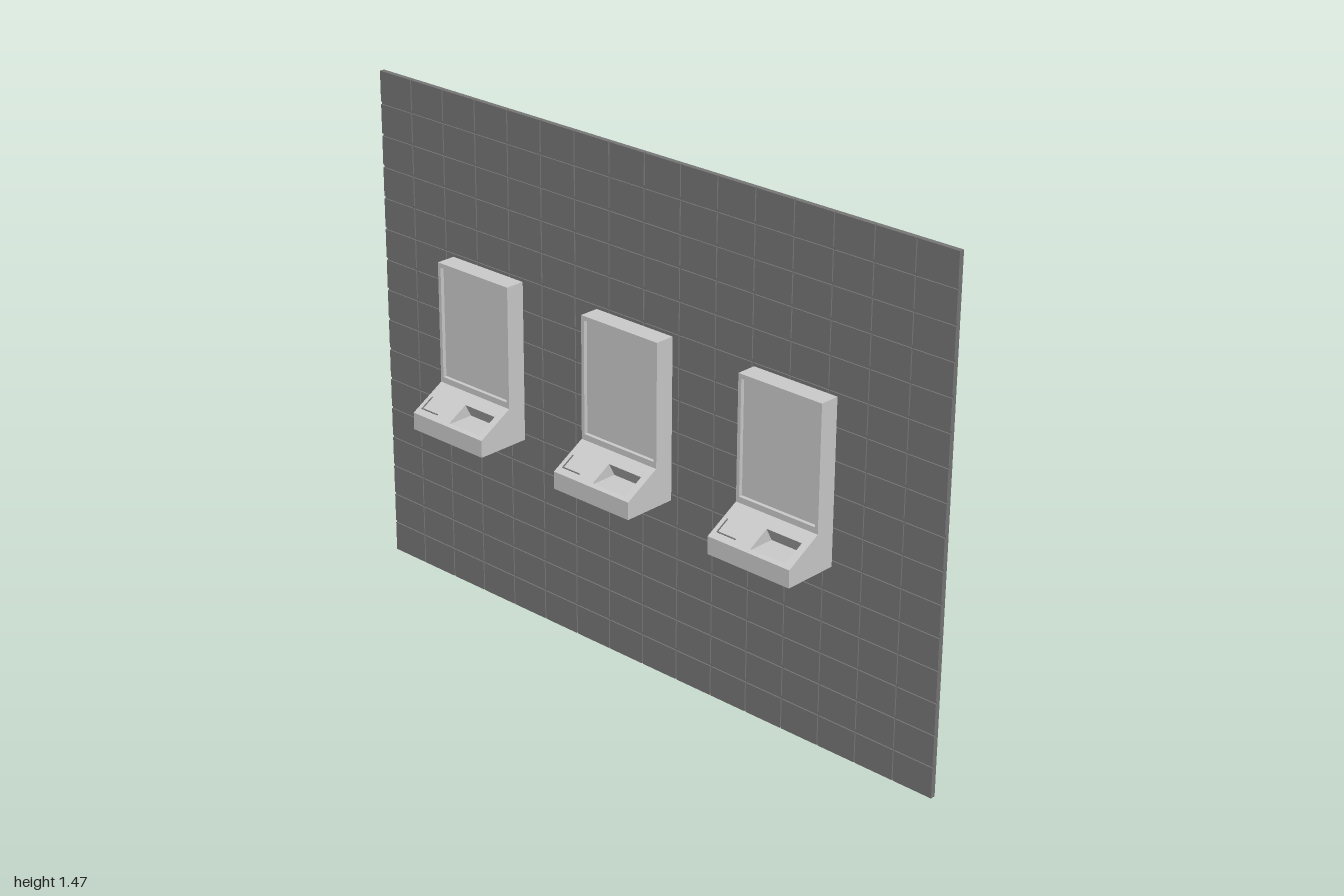
import * as THREE from 'three';
import { mergeGeometries } from 'three/addons/utils/BufferGeometryUtils.js';

const grey = new THREE.MeshStandardMaterial({ color: 0xcccccc, flatShading: true });
const dark = new THREE.MeshStandardMaterial({ color: 0x777777, flatShading: true });

function mesh(name, geometry, material) {
  const m = new THREE.Mesh(geometry, material);
  m.name = name;
  return m;
}

function box(x0, x1, y0, y1, z0, z1) {
  return new THREE.BoxGeometry(x1 - x0, y1 - y0, z1 - z0)
    .translate((x0 + x1) / 2, (y0 + y1) / 2, (z0 + z1) / 2);
}

// Side profile given as [z, y] points, extruded from x0 to x1
function slab(points, x0, x1) {
  const shape = new THREE.Shape(points.map(([z, y]) => new THREE.Vector2(-z, y)));
  return new THREE.ExtrudeGeometry(shape, { depth: x1 - x0, bevelEnabled: false })
    .rotateY(Math.PI / 2).translate(x0, 0, 0);
}

function rectangle(target, x0, x1, y0, y1) {
  target.moveTo(x0, y0);
  target.lineTo(x1, y0);
  target.lineTo(x1, y1);
  target.lineTo(x0, y1);
  target.closePath();
  return target;
}

function createWall() {
  const wall = new THREE.Group();
  wall.name = 'wall';
  const height = 1.47, columns = 16, rows = 16;
  wall.add(mesh('wallBacking', box(-1, 1, 0, height, -0.111, -0.1), dark));

  // Tiles stand slightly proud of the backing, leaving grooves between them
  const tiles = [];
  const w = 2 / columns, h = height / rows, gx = 0.002, gy = 0.004;
  for (let i = 0; i < columns; i++) {
    for (let j = 0; j < rows; j++) {
      const x = -1 + i * w, y = j * h;
      tiles.push(box(
        x + (i > 0 ? gx : 0), x + w - (i < columns - 1 ? gx : 0),
        y + (j > 0 ? gy : 0), y + h - (j < rows - 1 ? gy : 0),
        -0.1, -0.096));
    }
  }
  wall.add(mesh('wallTiles', mergeGeometries(tiles), dark));
  return wall;
}

function createKiosk(x) {
  const kiosk = new THREE.Group();
  kiosk.name = 'kiosk';
  const half = 0.135, bottom = 0.56, top = 1.023, back = -0.052;
  const panel = -0.005, front = 0.006, knee = 0.67, lip = 0.61, nose = 0.111;
  const trayLeft = -0.002, trayRight = 0.113;

  // Body in three slices; the middle slice has the tray cut into its slope
  const start = [[back, bottom], [nose, bottom], [nose, lip]];
  const end = [[front, knee], [panel, knee], [panel, top], [back, top]];
  const notch = [[0.1, 0.616], [0.1, 0.613], [0.02, 0.613], [0.04, 0.651]];
  kiosk.add(mesh('body', mergeGeometries([
    slab([...start, ...end], -half, trayLeft),
    slab([...start, ...notch, ...end], trayLeft, trayRight),
    slab([...start, ...end], trayRight, half),
  ]), grey));

  // Raised frame around the recessed screen
  const frame = rectangle(new THREE.Shape(), -half, half, knee, top);
  frame.holes.push(rectangle(new THREE.Path(), -0.125, 0.125, 0.687, 1.01));
  kiosk.add(mesh('screenFrame', new THREE.ExtrudeGeometry(frame,
    { depth: front - panel, bevelEnabled: false }).translate(0, 0, panel), grey));
  kiosk.add(mesh('screen', box(-0.121, 0.121, 0.691, 1.006, panel, panel + 0.002), grey));

  // Small L-shaped guide lying on the sloping desk
  const guide = new THREE.Group();
  guide.name = 'cardGuide';
  guide.position.set(0, lip, nose);
  guide.rotation.x = Math.atan2(nose - front, knee - lip) * -1;
  guide.add(mesh('guideSide', box(-0.121, -0.118, 0.02, 0.066, -0.001, 0.002), dark));
  guide.add(mesh('guideBase', box(-0.118, -0.058, 0.02, 0.023, -0.001, 0.002), dark));
  kiosk.add(guide);

  kiosk.position.x = x;
  return kiosk;
}

export function createModel() {
  const model = new THREE.Group();
  model.name = 'kioskWall';
  model.add(createWall());
  for (const x of [-0.538, 0.008, 0.554]) model.add(createKiosk(x));
  return model;
}
